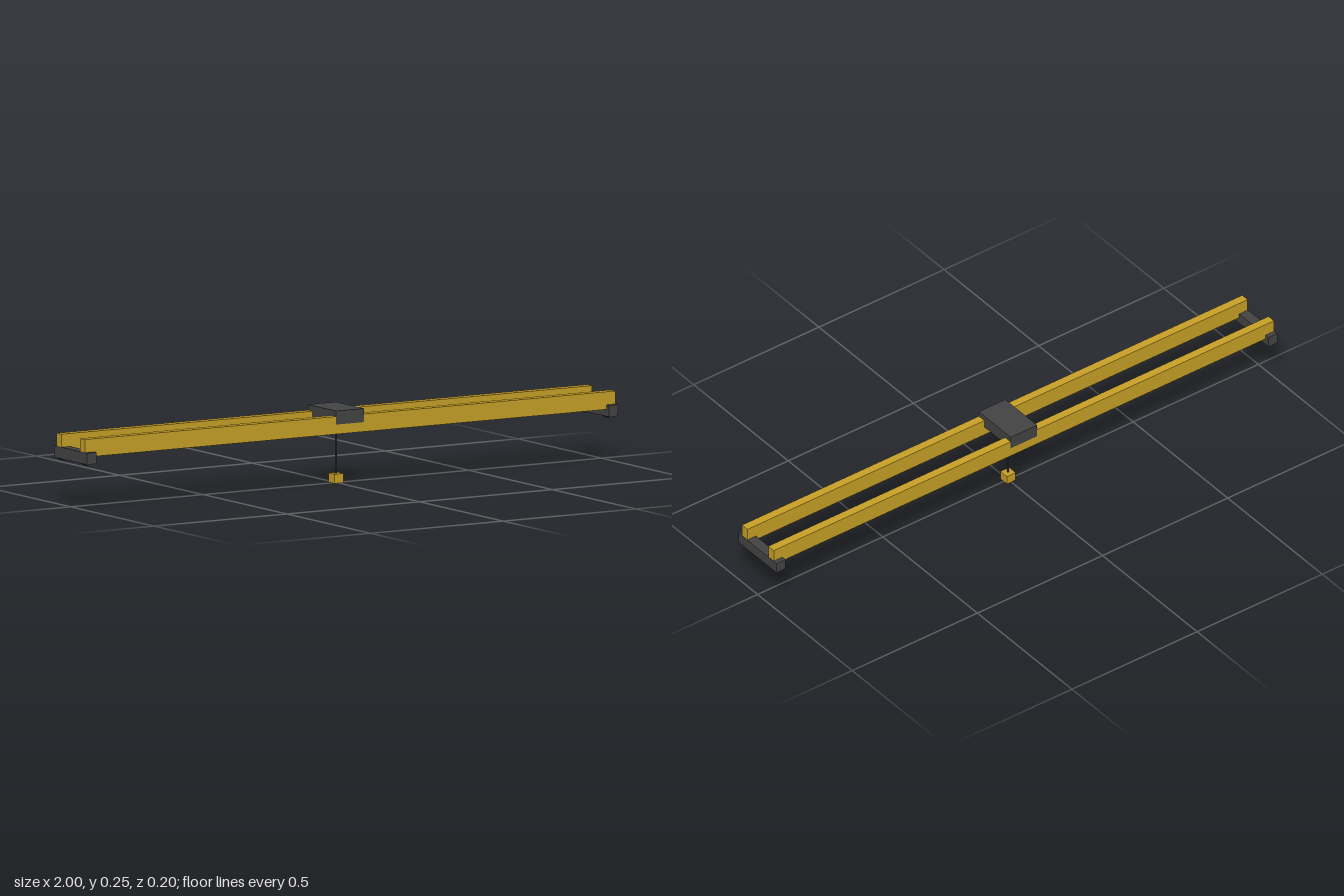
import * as THREE from 'three';

export function createModel() {
  const crane = new THREE.Group();
  crane.name = 'overheadCrane';

  const yellow = new THREE.MeshStandardMaterial({ color: 0xc9a227 });
  yellow.name = 'craneYellow';
  const dark = new THREE.MeshStandardMaterial({ color: 0x444444 });
  dark.name = 'darkSteel';

  const add = (name, geometry, material, x, y, z) => {
    const mesh = new THREE.Mesh(geometry, material);
    mesh.name = name;
    mesh.position.set(x, y, z);
    crane.add(mesh);
    return mesh;
  };
  const box = (name, w, h, d, material, x, y, z) =>
    add(name, new THREE.BoxGeometry(w, h, d), material, x, y, z);

  // Twin bridge girders
  for (const side of [1, -1]) {
    box(side > 0 ? 'frontGirder' : 'backGirder', 1.998, 0.057, 0.029, yellow, 0, 0.1985, side * 0.0695);
  }

  // End carriages, each with two wheels showing beneath
  for (const end of [1, -1]) {
    const label = end > 0 ? 'left' : 'right';
    box(label + 'EndCarriage', 0.035, 0.037, 0.2, dark, end * 0.9825, 0.1665, 0);
    for (const side of [1, -1]) {
      const wheel = new THREE.CylinderGeometry(0.0167, 0.0167, 0.03, 16).rotateX(Math.PI / 2);
      add(label + (side > 0 ? 'FrontWheel' : 'BackWheel'), wheel, dark, end * 0.9825, 0.1567, side * 0.0695);
    }
  }

  // Trolley straddling the girders
  box('trolley', 0.106, 0.044, 0.169, dark, 0, 0.223, 0);

  // Hoist cable and hook block
  add('hoistCable', new THREE.CylinderGeometry(0.0026, 0.0026, 0.175, 8), dark, 0, 0.1155, 0);
  box('hookBlock', 0.035, 0.03, 0.035, yellow, 0, 0.015, 0);

  return crane;
}
